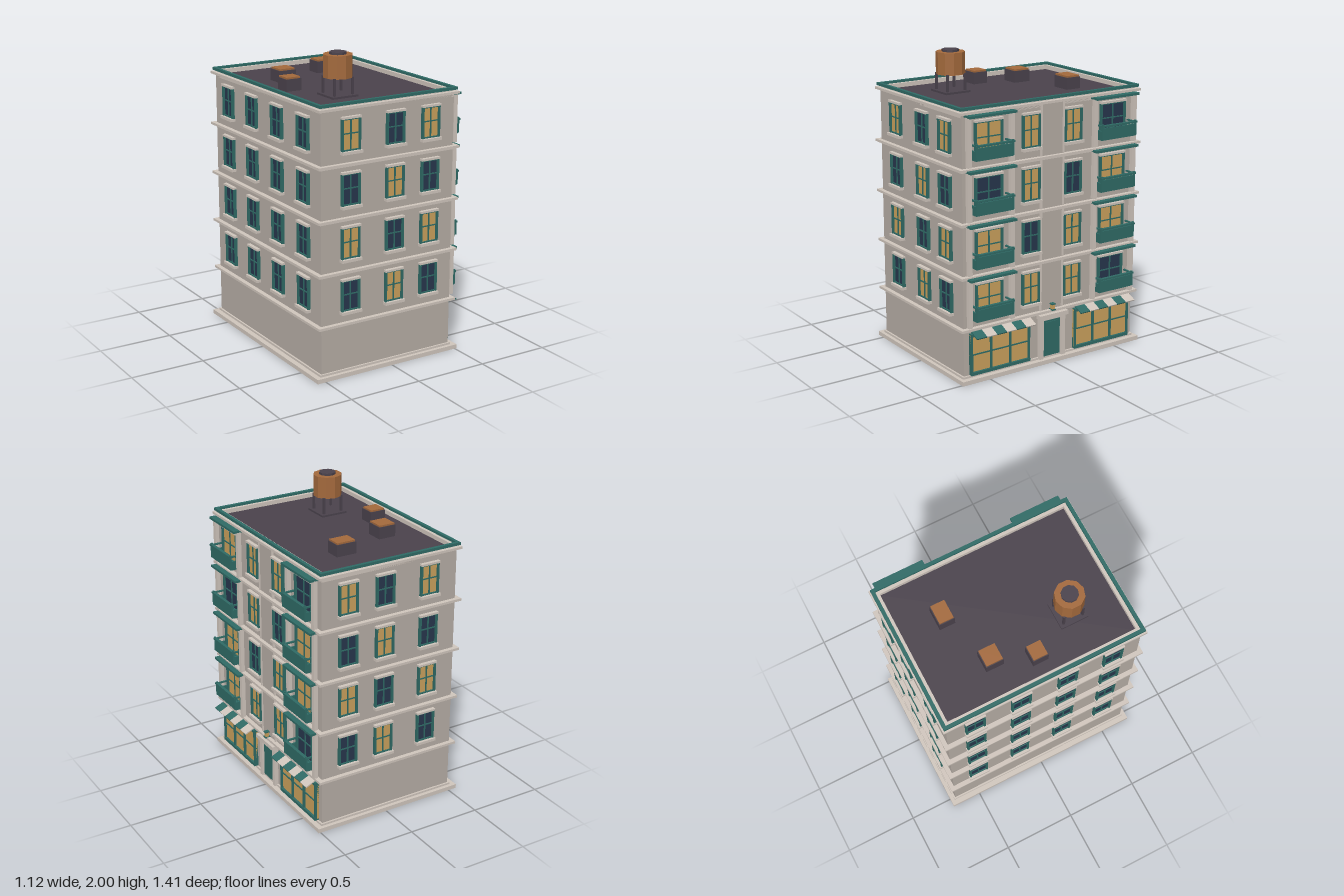
import * as THREE from 'three';

const mat = (color) => new THREE.MeshStandardMaterial({ color, flatShading: true });
const M = {
  wall: mat(0xb5aca4), trim: mat(0xcfc5bc), teal: mat(0x2f6a65), lit: mat(0xc9a05c),
  dark: mat(0x27364c), roof: mat(0x4a424c), wood: mat(0xa3693c),
};

// footprint centre and half sizes of the walls
const CX = -0.0225, HX = 0.49, HZ = 0.67, FACE = CX + HX;
const FLOORS = [0.35, 0.6925, 1.035, 1.378];

// box given by its limits
function box(parent, name, m, x0, x1, y0, y1, z0, z1) {
  const mesh = new THREE.Mesh(new THREE.BoxGeometry(x1 - x0, y1 - y0, z1 - z0), m);
  mesh.position.set((x0 + x1) / 2, (y0 + y1) / 2, (z0 + z1) / 2);
  mesh.name = name;
  parent.add(mesh);
  return mesh;
}

function group(parent, name) {
  const g = new THREE.Group();
  g.name = name;
  parent.add(g);
  return g;
}

// slab around the whole footprint with an overhang
function slab(parent, name, m, y0, y1, ox, oz) {
  return box(parent, name, m, CX - HX - ox, CX + HX + ox, y0, y1, -HZ - oz, HZ + oz);
}

// rectangular ring of four bars around the footprint
function ring(parent, name, m, y0, y1, out, inn) {
  const g = group(parent, name);
  for (const s of [-1, 1]) {
    const x = [CX + s * (HX + out), CX + s * (HX + inn)].sort((a, b) => a - b);
    const z = [s * (HZ + out), s * (HZ + inn)].sort((a, b) => a - b);
    box(g, name + 'Side', m, x[0], x[1], y0, y1, -HZ - out, HZ + out);
    box(g, name + 'End', m, CX - HX - inn, CX + HX + inn, y0, y1, z[0], z[1]);
  }
}

// window facing local +z, centred on its pane
function makeWindow(parent, lit, w, h, x, y, z, turn) {
  const g = group(parent, 'window');
  const a = w / 2, b = h / 2, f = 0.012;
  box(g, 'pane', lit ? M.lit : M.dark, -a, a, -b, b, -0.005, 0.006);
  for (const s of [-1, 1]) {
    box(g, 'frameSide', M.teal, s * a - f / 2, s * a + f / 2, -b, b, -0.005, 0.02);
    box(g, 'frameRail', M.teal, -a, a, s * (b - 0.004) - 0.004, s * (b - 0.004) + 0.004, -0.005, 0.015);
  }
  box(g, 'mullion', M.teal, -0.004, 0.004, -b, b, 0, 0.012);
  box(g, 'transom', M.teal, -a, a, 0.004, 0.011, 0, 0.012);
  box(g, 'sill', M.trim, -a - 0.012, a + 0.012, -b - 0.018, -b, -0.005, 0.034);
  box(g, 'head', M.trim, -a - 0.008, a + 0.008, b, b + 0.014, -0.005, 0.025);
  g.position.set(x, y, z);
  g.rotation.y = turn;
}

// balcony bay on the street face: posts, canopy, slab, panels and rails
function makeBay(parent, zc, base) {
  const g = group(parent, 'balconyBay');
  for (const s of [-1, 1]) {
    const z = zc + s * 0.158;
    box(g, 'bayPost', M.trim, 0.484, 0.51, base + 0.02, base + 0.33, z - 0.015, z + 0.015);
    const e = zc + s * 0.132;
    box(g, 'sidePanel', M.teal, FACE, 0.545, base + 0.065, base + 0.125, e - 0.005, e + 0.005);
    box(g, 'sideRail', M.teal, FACE, 0.55, base + 0.152, base + 0.162, e - 0.006, e + 0.006);
    box(g, 'railPost', M.teal, 0.54, 0.552, base + 0.07, base + 0.17, e - 0.007, e + 0.007);
  }
  box(g, 'canopy', M.teal, FACE, 0.537, base + 0.328, base + 0.343, zc - 0.172, zc + 0.172);
  box(g, 'balconyFloor', M.teal, FACE, 0.545, base + 0.065, base + 0.08, zc - 0.135, zc + 0.135);
  box(g, 'frontPanel', M.teal, 0.538, 0.548, base + 0.07, base + 0.145, zc - 0.135, zc + 0.135);
  box(g, 'topRail', M.teal, 0.536, 0.557, base + 0.152, base + 0.164, zc - 0.142, zc + 0.142);
}

// shop window with striped sloping awning, running down from z1
function makeShop(parent, z1) {
  const g = group(parent, 'shopFront'), w = 0.45, z0 = z1 - w;
  box(g, 'shopGlass', M.lit, FACE, 0.482, 0.055, 0.315, z0, z1);
  box(g, 'shopBase', M.teal, FACE, 0.498, 0.045, 0.065, z0, z1);
  box(g, 'shopBeam', M.teal, FACE, 0.5, 0.305, 0.322, z0, z1);
  box(g, 'shopTransom', M.teal, FACE, 0.488, 0.176, 0.184, z0, z1);
  for (let i = 0; i < 4; i++) {
    const z = z0 + 0.006 + i * (w - 0.012) / 3;
    box(g, 'shopMullion', M.teal, FACE, 0.496, 0.05, 0.31, z - 0.006, z + 0.006);
  }
  for (let i = 0; i < 6; i++) {
    const zb = z1 - i * 0.075, m = i % 2 ? M.trim : M.teal;
    const s = box(g, 'awningStripe', m, -0.052, 0.052, -0.004, 0.004, zb - 0.075, zb);
    s.position.x = 0.513;
    s.position.y = 0.333;
    s.rotation.z = -0.42;
  }
}

export function createModel() {
  const root = new THREE.Group();
  root.name = 'apartmentBuilding';

  // plinth, walls, belt courses and roof edge
  slab(root, 'plinth', M.trim, 0, 0.028, 0.047, 0.036);
  slab(root, 'plinthStep', M.trim, 0.028, 0.042, 0.012, 0.012);
  slab(root, 'walls', M.wall, 0.02, 1.715, 0, 0);
  for (const y of FLOORS) {
    slab(root, 'beltCourse', M.trim, y - 0.006, y + 0.01, 0.031, 0.029);
    slab(root, 'beltMoulding', M.trim, y - 0.014, y - 0.006, 0.014, 0.014);
  }
  ring(root, 'cornice', M.trim, 1.722, 1.738, 0.026, -0.002);
  ring(root, 'parapet', M.trim, 1.7, 1.75, 0, -0.0275);
  ring(root, 'parapetCap', M.teal, 1.747, 1.765, 0.017, -0.006);
  slab(root, 'roofDeck', M.roof, 1.71, 1.722, -0.02, -0.02);

  // central strip of the street face
  box(root, 'centrePanel', M.wall, FACE - 0.01, FACE + 0.006, 0.35, 1.722, -0.08, 0.08);
  for (const s of [-1, 1])
    box(root, 'centrePilaster', M.trim, FACE - 0.01, FACE + 0.012, 0.35, 1.722, s * 0.085 - 0.006, s * 0.085 + 0.006);

  // windows and balconies, floor by floor; 1 is a lit pane
  const street = [[1, 1, 1, 0], [1, 0, 1, 1], [0, 1, 0, 1], [1, 1, 1, 0]];
  FLOORS.forEach((base, f) => {
    const y = base + 0.184;
    [-0.305, 0.02, 0.285].forEach((x, i) => {
      const lit = (f + i) % 2 === 1;
      makeWindow(root, lit, 0.122, 0.2, x, y, HZ, 0);
      makeWindow(root, lit, 0.122, 0.2, x, y, -HZ, Math.PI);
    });
    for (const z of [-0.48, -0.163, 0.16, 0.477])
      makeWindow(root, false, 0.122, 0.2, CX - HX, y, z, -Math.PI / 2);
    [0.483, 0.165, -0.16, -0.477].forEach((z, i) => {
      const bay = i % 3 === 0;
      makeWindow(root, street[f][i], bay ? 0.19 : 0.122, 0.21, FACE, y, z, Math.PI / 2);
      if (bay) makeBay(root, z, base);
    });
  });

  // ground floor shops and entrance
  makeShop(root, 0.63);
  makeShop(root, -0.18);
  const entry = group(root, 'entrance');
  box(entry, 'door', M.teal, FACE, 0.48, 0.04, 0.295, -0.068, 0.068);
  box(entry, 'doorPanel', M.teal, FACE, 0.485, 0.065, 0.275, -0.048, 0.048);
  for (const s of [-1, 1])
    box(entry, 'doorJamb', M.trim, FACE, 0.495, 0.03, 0.31, s * 0.086 - 0.015, s * 0.086 + 0.015);
  box(entry, 'doorLintel', M.trim, FACE, 0.495, 0.293, 0.312, -0.1, 0.1);
  box(entry, 'doorHood', M.trim, FACE, 0.515, 0.31, 0.338, -0.112, 0.112);
  box(entry, 'lanternBracket', M.teal, FACE, 0.51, 0.356, 0.365, -0.012, 0.016);
  box(entry, 'lantern', M.lit, 0.482, 0.506, 0.365, 0.395, -0.009, 0.013);
  box(entry, 'lanternCap', M.teal, 0.478, 0.51, 0.395, 0.402, -0.012, 0.016);

  // roof hatches
  for (const [x0, x1, z0, z1] of [[0.066, 0.205, -0.417, -0.312], [-0.307, -0.186, -0.29, -0.17], [-0.404, -0.295, -0.022, 0.083]]) {
    box(root, 'roofHatch', M.roof, x0, x1, 1.72, 1.8, z0, z1);
    box(root, 'hatchLid', M.wood, x0 + 0.005, x1 - 0.005, 1.8, 1.811, z0 + 0.005, z1 - 0.005);
  }

  // water tank on four legs
  const tank = group(root, 'waterTank');
  tank.position.set(-0.182, 0, 0.336);
  box(tank, 'tankPad', M.roof, -0.093, 0.093, 1.72, 1.735, -0.093, 0.093);
  for (const sx of [-1, 1]) for (const sz of [-1, 1])
    box(tank, 'tankLeg', M.roof, sx * 0.066 - 0.007, sx * 0.066 + 0.007, 1.73, 1.845, sz * 0.066 - 0.007, sz * 0.066 + 0.007);
  for (const [name, m, r, y0, y1] of [['tankBarrel', M.wood, 0.095, 1.84, 1.985], ['tankLid', M.roof, 0.055, 1.98, 2]]) {
    const c = new THREE.Mesh(new THREE.CylinderGeometry(r, r, y1 - y0, 10), m);
    c.position.y = (y0 + y1) / 2;
    c.name = name;
    tank.add(c);
  }
  return root;
}
